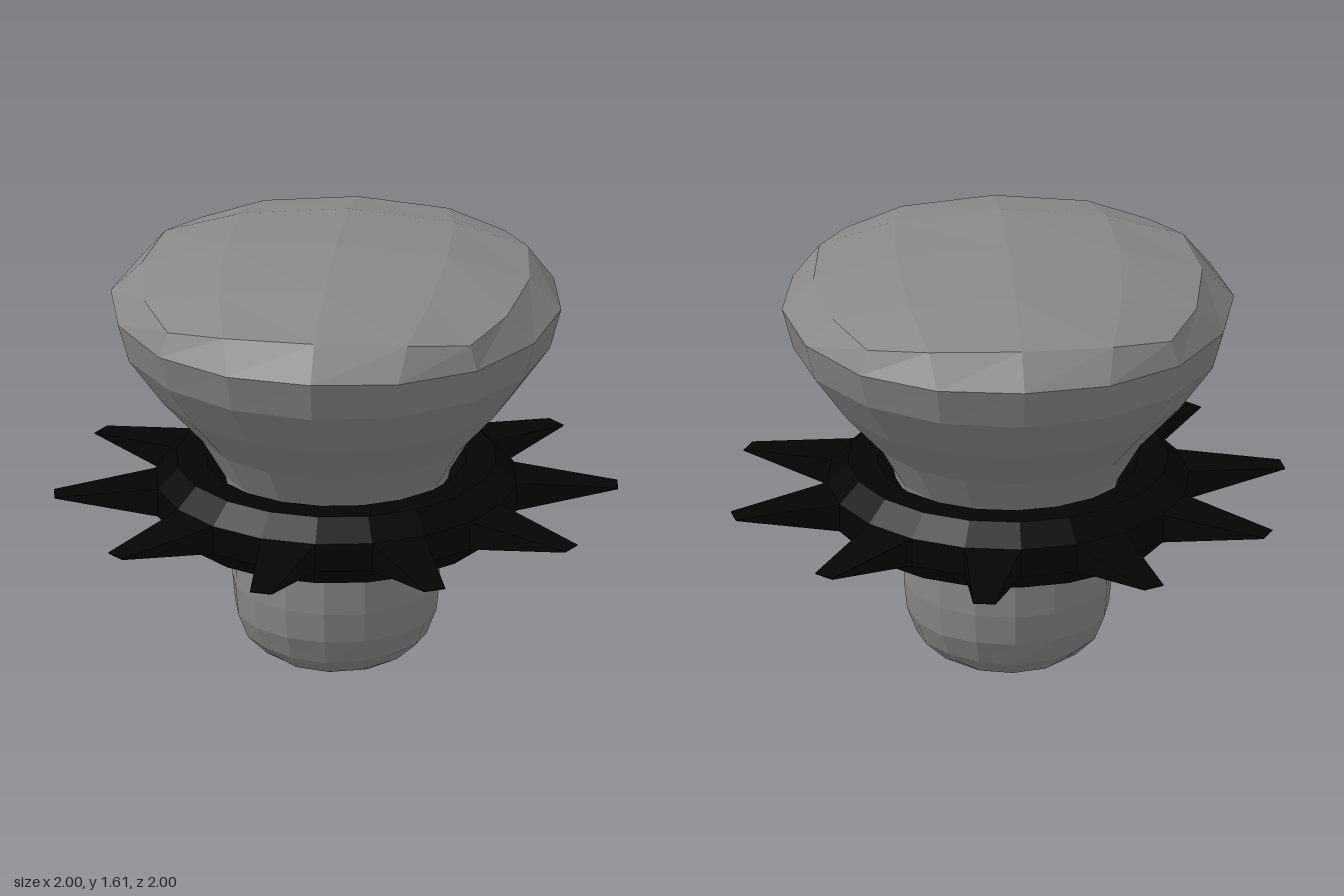
import * as THREE from 'three';

const grey = new THREE.MeshStandardMaterial({ color: 0x888888, flatShading: true });
const black = new THREE.MeshStandardMaterial({ color: 0x040404, flatShading: true });

// Geometry from a list of four-cornered faces, corners counter-clockwise from outside
function fromQuads(quads) {
  const pos = [];
  for (const [a, b, c, d] of quads) pos.push(...a, ...b, ...c, ...a, ...c, ...d);
  const g = new THREE.BufferGeometry();
  g.setAttribute('position', new THREE.Float32BufferAttribute(pos, 3));
  g.computeVertexNormals();
  return g;
}

// Point (i, j) of a 4 x 4 domed grid; i and j run from -2 to 2.
// The table gives [major, minor, height] for one eighth of the grid.
function capPoint(table, i, j) {
  const a = Math.abs(i), b = Math.abs(j);
  const [p, q, y] = table[`${Math.max(a, b)}${Math.min(a, b)}`];
  return [Math.sign(i) * (a >= b ? p : q), y, Math.sign(j) * (a >= b ? q : p)];
}

function bodyGeometry() {
  const top = {
    '00': [0, 0, 1.605], '10': [0.4, 0, 1.581], '11': [0.38, 0.38, 1.555],
    '20': [0.695, 0, 1.508], '21': [0.65, 0.33, 1.496], '22': [0.543, 0.543, 1.465],
  };
  const bottom = {
    '00': [0, 0, 0], '10': [0.135, 0, 0.015], '11': [0.13, 0.13, 0.03],
    '20': [0.245, 0, 0.06], '21': [0.232, 0.117, 0.068], '22': [0.193, 0.193, 0.09],
  };
  // [radius, height, drop at the diagonals] from the rim down to the foot
  const profile = [
    [0.808, 1.395, 0.015], [0.768, 1.245, 0], [0.643, 1.07, 0], [0.495, 0.905, 0],
    [0.41, 0.76, 0], [0.377, 0.62, 0], [0.367, 0.53, 0], [0.372, 0.33, 0],
    [0.361, 0.22, 0], [0.325, 0.125, -0.01],
  ];
  const N = 16, angle = k => (k * 2 * Math.PI) / N;
  const edge = table => Array.from({ length: N }, (_, k) => {
    const c = Math.cos(angle(k)), s = Math.sin(angle(k)), m = Math.max(Math.abs(c), Math.abs(s));
    return capPoint(table, Math.round((2 * c) / m), Math.round((2 * s) / m));
  });
  const rings = [edge(top)];
  for (const [r, y, drop] of profile)
    rings.push(Array.from({ length: N }, (_, k) =>
      [r * Math.cos(angle(k)), y - drop * Math.sin(2 * angle(k)) ** 2, r * Math.sin(angle(k))]));
  rings.push(edge(bottom));

  const quads = [];
  for (let r = 0; r < rings.length - 1; r++)
    for (let k = 0; k < N; k++) {
      const n = (k + 1) % N, u = rings[r], l = rings[r + 1];
      quads.push([u[k], u[n], l[n], l[k]]);
    }
  for (let i = -2; i < 2; i++)
    for (let j = -2; j < 2; j++) {
      const corners = t => [[i, j], [i, j + 1], [i + 1, j + 1], [i + 1, j]].map(([a, b]) => capPoint(t, a, b));
      quads.push(corners(top), corners(bottom).reverse());
    }
  return fromQuads(quads);
}

// Wedge pointing along +x, its base sunk into the collar, narrowing to a thin level edge
function spikeGeometry() {
  const x = 0.63, h = 0.054, w = 0.102, tip = 1.005, t = 0.04, e = 0.002;
  const ring = (px, py, pz) => [[px, py, pz], [px, py, -pz], [px, -py, -pz], [px, -py, pz]];
  const b = ring(x, h, w), f = ring(tip, e, t);
  const quads = [[f[3], f[2], f[1], f[0]]];
  for (let k = 0; k < 4; k++) {
    const n = (k + 1) % 4;
    quads.push([b[k], f[k], f[n], b[n]]);
  }
  return fromQuads(quads);
}

export function createModel() {
  const model = new THREE.Group();
  model.name = 'spikedMushroom';

  // Flared cap and rounded stem in one piece
  const body = new THREE.Mesh(bodyGeometry(), grey);
  body.name = 'capAndStem';
  model.add(body);

  // Collar with an eight-sided section around the neck
  const collar = new THREE.Group();
  collar.name = 'spikedCollar';
  collar.position.y = 0.664;
  const section = Array.from({ length: 9 }, (_, k) => {
    const a = ((k - 0.5) * Math.PI) / 4;
    return new THREE.Vector2(0.52 + 0.138 * Math.cos(a), 0.138 * Math.sin(a));
  });
  const ring = new THREE.Mesh(new THREE.LatheGeometry(section, 20), black);
  ring.name = 'collarRing';
  collar.add(ring);

  // Ten spikes, one on every second outer face
  const spike = spikeGeometry();
  for (let k = 0; k < 10; k++) {
    const mesh = new THREE.Mesh(spike, black);
    mesh.name = 'spike';
    mesh.rotation.y = THREE.MathUtils.degToRad(9 + 36 * k);
    collar.add(mesh);
  }
  model.add(collar);
  return model;
}
